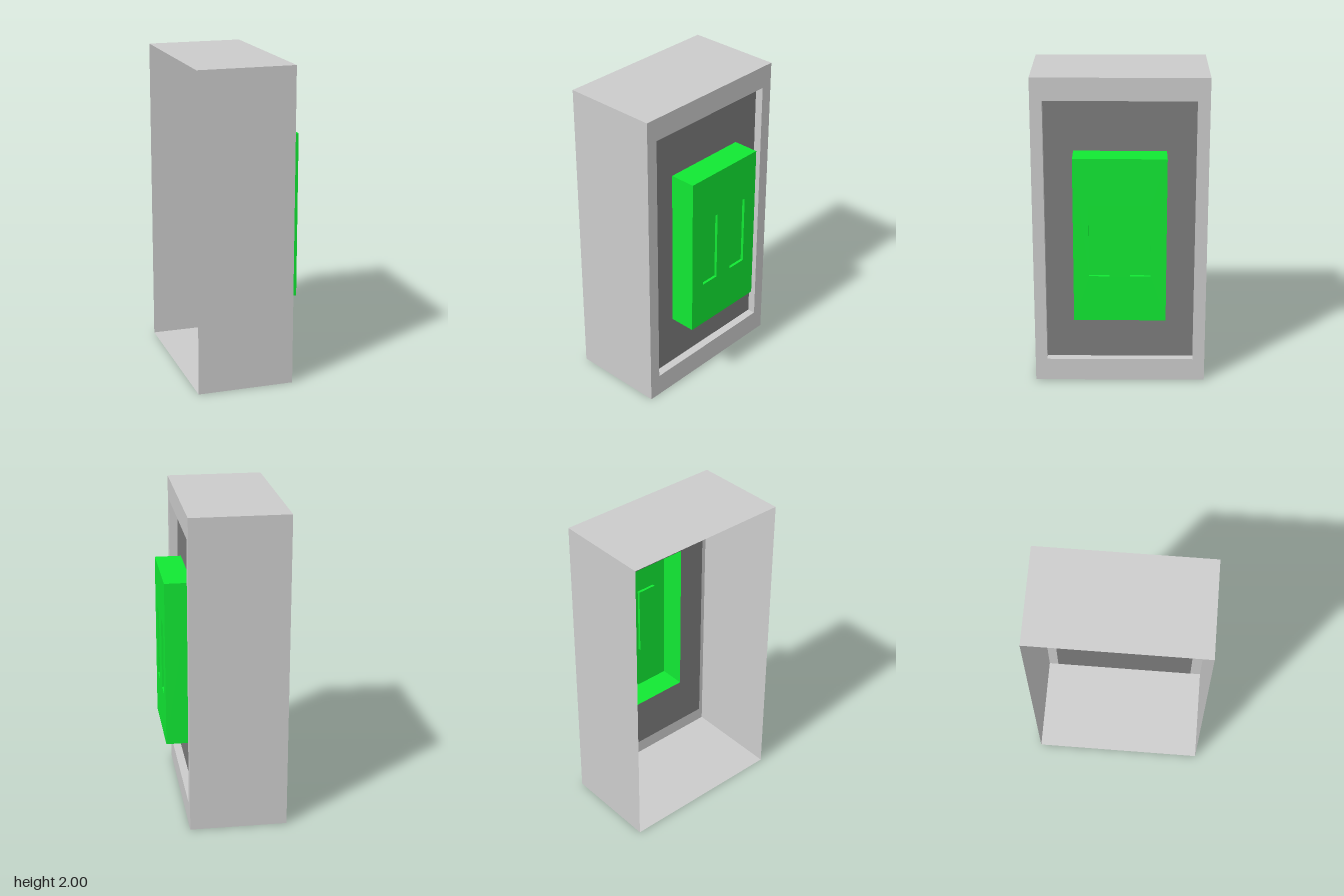
import * as THREE from 'three';

const grey = new THREE.MeshStandardMaterial({ color: 0xcccccc, side: THREE.DoubleSide });
const dark = new THREE.MeshStandardMaterial({ color: 0x7c7c7c, side: THREE.DoubleSide });
const green = new THREE.MeshStandardMaterial({ color: 0x11e833, side: THREE.DoubleSide });

// Rectangles in the z-y plane: centre z, centre y, width along z, height along y
const BODY = { z: 0, y: 1, w: 1.084, h: 2 };
const OPENING = { z: 0, y: 1.002, w: 0.935, h: 1.71 };
const BLOCK = { z: 0, y: 1.004, w: 0.572, h: 1.056 };
const SLOTS = [0.126, -0.126].map((z) => ({ z, y: 1.004, w: 0.127, h: 0.46 }));

// Depths along x
const BACK = -0.363, FACE = 0.247, PANEL = 0.195, BLOCK_FACE = 0.363, SLOT_FLOOR = 0.345;

function trace(path, { z, y, w, h }) {
  path.moveTo(-z - w / 2, y - h / 2);
  path.lineTo(-z + w / 2, y - h / 2);
  path.lineTo(-z + w / 2, y + h / 2);
  path.lineTo(-z - w / 2, y + h / 2);
  path.closePath();
  return path;
}

// Flat plate facing +x, with rectangular holes
function plate(name, rect, x, material, holes = []) {
  const shape = trace(new THREE.Shape(), rect);
  shape.holes = holes.map((hole) => trace(new THREE.Path(), hole));
  const geometry = new THREE.ShapeGeometry(shape).rotateY(Math.PI / 2).translate(x, 0, 0);
  const mesh = new THREE.Mesh(geometry, material);
  mesh.name = name;
  return mesh;
}

// Four thin walls around a rectangle, open at both x ends
function sleeve(name, rect, x0, x1, material) {
  const geometry = new THREE.BoxGeometry(x1 - x0, rect.h, rect.w);
  geometry.setIndex(Array.from(geometry.index.array).slice(12)); // drop the +x and -x sides
  geometry.clearGroups();
  const mesh = new THREE.Mesh(geometry, material);
  mesh.position.set((x0 + x1) / 2, rect.y, rect.z);
  mesh.name = name;
  return mesh;
}

export function createModel() {
  const model = new THREE.Group();
  model.name = 'wallBox';

  // Housing, open at the back, with a framed opening on its +x face
  model.add(
    sleeve('housingWalls', BODY, BACK, FACE, grey),
    plate('frontFrame', BODY, FACE, grey, [OPENING]),
    sleeve('openingEdge', OPENING, PANEL, FACE, grey),
    plate('recessedPanel', OPENING, PANEL, dark, [BLOCK])
  );

  // Hollow raised block standing out of the panel
  const block = new THREE.Group();
  block.name = 'raisedBlock';
  block.add(
    sleeve('blockSides', BLOCK, PANEL, BLOCK_FACE, green),
    plate('blockFace', BLOCK, BLOCK_FACE, green, SLOTS)
  );

  // Two shallow upright slots
  for (const slot of SLOTS) {
    block.add(
      sleeve('slotEdge', slot, SLOT_FLOOR, BLOCK_FACE, green),
      plate('slotFloor', slot, SLOT_FLOOR, green)
    );
  }
  model.add(block);
  return model;
}
